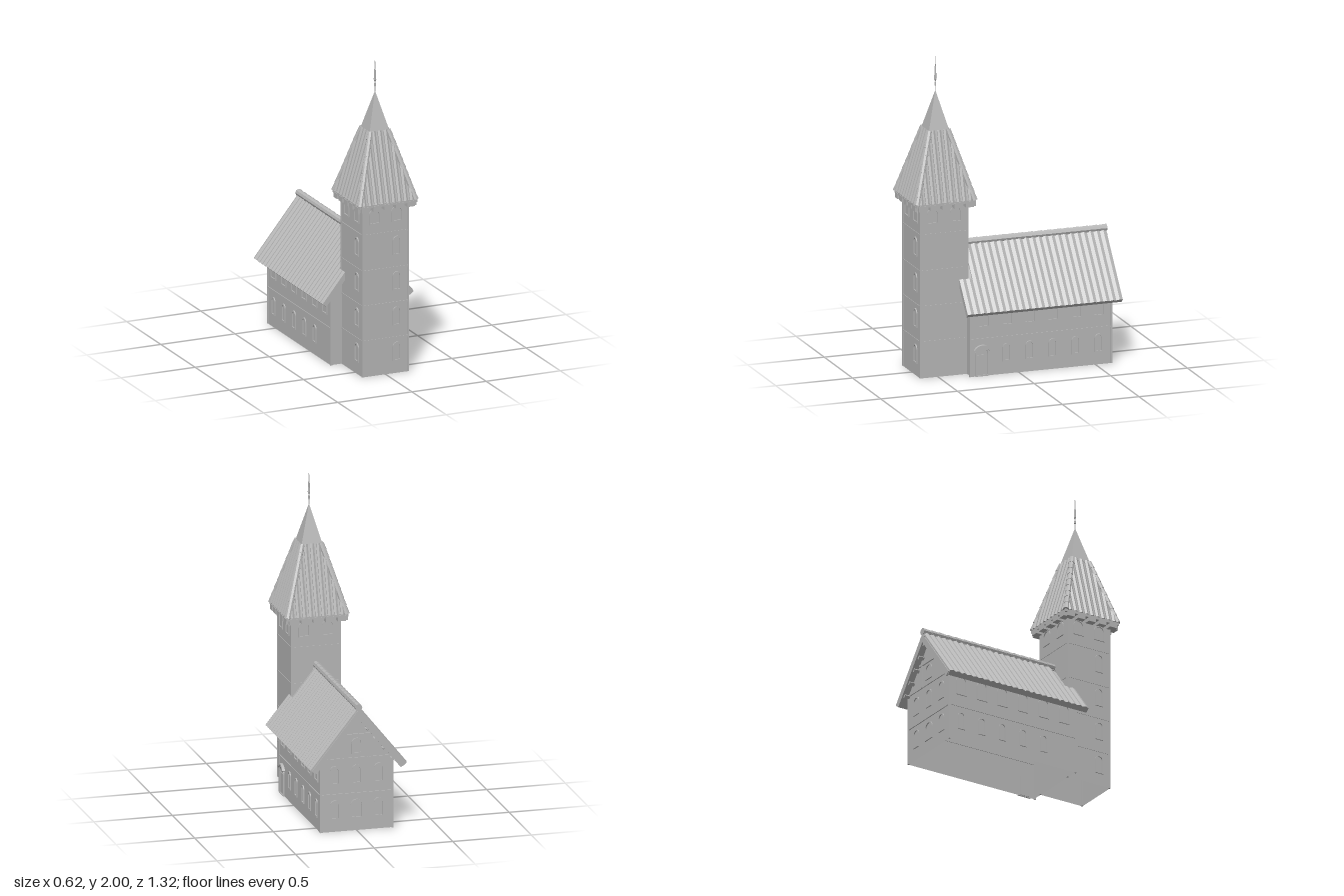
import * as THREE from 'three';

const stone = new THREE.MeshStandardMaterial({ color: 0xb6b6b6, side: THREE.DoubleSide, flatShading: true });
stone.name = 'stone grey';
const TZ = 0.46;   // tower centre
const TH = 0.155;  // tower half width

function add(parent, name, geo, x = 0, y = 0, z = 0, ry = 0) {
  const m = new THREE.Mesh(geo, stone);
  m.name = name;
  m.position.set(x, y, z);
  m.rotation.y = ry;
  parent.add(m);
  return m;
}
const box = (parent, name, w, h, d, x, y, z, ry = 0) =>
  add(parent, name, new THREE.BoxGeometry(w, h, d), x, y, z, ry);

function group(parent, name, x = 0, y = 0, z = 0, ry = 0) {
  const g = new THREE.Group();
  g.name = name;
  g.position.set(x, y, z);
  g.rotation.y = ry;
  parent.add(g);
  return g;
}

// Tapered rod between two points
function rod(parent, name, a, b, r0, r1, sides = 6) {
  const d = b.clone().sub(a);
  const m = add(parent, name, new THREE.CylinderGeometry(r1, r0, d.length(), sides));
  m.position.copy(a).add(b).multiplyScalar(0.5);
  m.quaternion.setFromUnitVectors(new THREE.Vector3(0, 1, 0), d.normalize());
}

// Overlapping tapered cap tiles from a to b
function capTiles(parent, name, a, b, n, r) {
  for (let i = 0; i < n; i++) {
    rod(parent, name, a.clone().lerp(b, i / n), a.clone().lerp(b, (i + 1) / n), r, r * 0.86, 8);
  }
}

// Round-headed outline with its foot at the origin
function arch(Kind, w, h, inset = 0) {
  const s = new Kind(), r = w / 2 - inset;
  s.moveTo(-r, inset);
  s.lineTo(r, inset);
  s.lineTo(r, h - w / 2);
  s.absarc(0, h - w / 2, r, 0, Math.PI, false);
  s.lineTo(-r, inset);
  return s;
}

// Raised frame on a wall
function frame(parent, name, w, h, x, y, z, ry = 0, depth = 0.007) {
  const s = arch(THREE.Shape, w, h);
  s.holes.push(arch(THREE.Path, w, h, 0.008));
  add(parent, name, new THREE.ExtrudeGeometry(s, { depth, bevelEnabled: false, curveSegments: 6 }), x, y, z, ry);
}

function buildTower(root) {
  const tower = group(root, 'tower', 0, 0, TZ);
  const walls = new THREE.CylinderGeometry(TH * Math.SQRT2, TH * Math.SQRT2, 1.1, 4, 1, true);
  add(tower, 'towerWalls', walls.rotateY(Math.PI / 4), 0, 0.55, 0);

  for (let k = 0; k < 4; k++) {
    const side = group(tower, 'towerSide', 0, 0, 0, k * Math.PI / 2);
    box(side, 'cornerPost', 0.012, 1.1, 0.012, TH - 0.003, 0.55, TH - 0.003);
    for (const y of [0.23, 0.455, 0.68, 0.91]) box(side, 'stringCourse', 2 * TH, 0.01, 0.006, 0, y, TH);
    for (const x of [-0.075, 0.075]) frame(side, 'belfryWindow', 0.075, 0.1, x, 0.975, TH);
    for (let i = -2; i <= 2; i++) box(side, 'eaveBlock', 0.052, 0.035, 0.05, i * 0.077, 1.088, TH + 0.018);
    // Stair windows on the front and on the right-hand wall
    if (k === 0 || k === 3) {
      for (let i = 0; i < 4; i++) frame(side, 'stairWindow', 0.055, 0.12, 0.075, 0.08 + i * 0.227, TH);
    }
  }
  box(tower, 'eavePlate', 0.39, 0.02, 0.39, 0, 1.105, 0);
  buildSpire(tower);
}

function buildSpire(tower) {
  const y0 = 1.11, y1 = 1.54, h0 = 0.188, h1 = 0.06;
  const core = new THREE.CylinderGeometry(h1 * Math.SQRT2, h0 * Math.SQRT2, y1 - y0, 4);
  add(tower, 'spireCore', core.rotateY(Math.PI / 4), 0, (y0 + y1) / 2, 0);

  for (let k = 0; k < 4; k++) {
    const face = group(tower, 'spireFace', 0, 0, 0, k * Math.PI / 2);
    // Tile rolls stop where they meet the hips
    for (let i = -4; i <= 4; i++) {
      const u = i * 0.04;
      const t = Math.min(1, (h0 - Math.abs(u)) / (h0 - h1));
      const top = new THREE.Vector3(u, y0 + t * (y1 - y0), h0 + t * (h1 - h0));
      rod(face, 'spireTileRoll', new THREE.Vector3(u, y0, h0), top, 0.015, 0.015);
    }
    capTiles(face, 'hipTile', new THREE.Vector3(h0, y0, h0), new THREE.Vector3(h1, y1, h1), 9, 0.019);
  }
  const cap = new THREE.ConeGeometry(0.068 * Math.SQRT2, 0.25, 4);
  add(tower, 'spireCap', cap.rotateY(Math.PI / 4), 0, 1.655, 0);

  // Slender finial
  const profile = [[0.002, 1.77], [0.002, 1.805], [0.006, 1.81], [0.005, 1.83], [0.002, 1.835],
    [0.008, 1.85], [0.006, 1.89], [0.002, 1.96], [0, 2]].map(p => new THREE.Vector2(...p));
  add(tower, 'finial', new THREE.LatheGeometry(profile, 6));
}

function buildNave(root) {
  const nave = group(root, 'nave');
  const W = 0.23, Z0 = -0.605, Z1 = 0.315, L = Z1 - Z0, ZC = (Z0 + Z1) / 2;

  // Walls, open underneath
  const gable = new THREE.Shape([[-W, 0], [W, 0], [W, 0.47], [0, 0.755], [-W, 0.47]]
    .map(p => new THREE.Vector2(...p)));
  add(nave, 'backGable', new THREE.ShapeGeometry(gable), 0, 0, Z0, Math.PI);
  add(nave, 'frontGable', new THREE.ShapeGeometry(gable), 0, 0, Z1 - 0.005);
  for (const s of [-1, 1]) {
    const ry = s * Math.PI / 2;
    add(nave, 'sideWall', new THREE.PlaneGeometry(L, 0.48), s * W, 0.24, ZC, ry);
    for (const z of [Z0, Z1]) box(nave, 'cornerPost', 0.012, 0.46, 0.012, s * (W - 0.002), 0.23, z);
    box(nave, 'sideBand', 0.008, 0.01, L, s * W, 0.235, ZC);
    for (let i = 0; i < 5; i++) frame(nave, 'lowerWindow', 0.05, 0.115, s * W, 0.08, 0.08 - i * 0.15, ry);
    for (let i = 0; i < 6; i++) frame(nave, 'upperWindow', 0.075, 0.13, s * W, 0.31, 0.23 - i * 0.15, ry);
  }

  // Back wall windows, bands and gable timbers
  for (const x of [-0.14, 0, 0.14]) {
    frame(nave, 'backLowerWindow', x ? 0.06 : 0.08, 0.12, x, 0.08, Z0, Math.PI);
    frame(nave, 'backUpperWindow', 0.06, 0.12, x, 0.3, Z0, Math.PI);
  }
  frame(nave, 'gableWindow', 0.07, 0.1, 0, 0.49, Z0, Math.PI);
  for (const y of [0.235, 0.46]) box(nave, 'backBand', 2 * W, 0.012, 0.012, 0, y, Z0);
  box(nave, 'gableCollar', 0.2, 0.014, 0.016, 0, 0.61, Z0);
  for (const s of [-1, 1]) box(nave, 'gablePost', 0.012, 0.15, 0.014, s * 0.075, 0.535, Z0);

  // Side door with arched hood
  frame(nave, 'doorFrame', 0.09, 0.185, W, 0, 0.24, Math.PI / 2, 0.009);
  box(nave, 'doorLeaf', 0.008, 0.13, 0.06, W, 0.07, 0.24);
  const hood = new THREE.Shape();
  hood.absarc(0, 0, 0.062, 0.5, Math.PI - 0.5, false);
  hood.absarc(0, 0, 0.05, Math.PI - 0.5, 0.5, true);
  add(nave, 'doorHood', new THREE.ExtrudeGeometry(hood, { depth: 0.018, bevelEnabled: false, curveSegments: 8 }),
    W, 0.137, 0.24, Math.PI / 2);

  buildRoof(nave);
}

function buildRoof(nave) {
  const a = Math.atan(1.24), len = 0.3 / Math.cos(a), cut = 0.15 / Math.cos(a);
  const zBack = -0.65, zTower = 0.305, zFront = 0.36, n = 24, step = (zFront - zBack) / n;

  for (const s of [1, -1]) {
    // Local x runs down the slope, local s*y points outwards
    const slope = group(nave, s > 0 ? 'leftRoof' : 'rightRoof', 0, 0.785, 0);
    slope.rotation.z = s > 0 ? -a : Math.PI + a;
    box(slope, 'roofBoards', len, 0.025, zTower - zBack, len / 2, -s * 0.0125, (zTower + zBack) / 2);
    box(slope, 'roofBoardsBesideTower', len - cut, 0.025, zFront - zTower,
      (len + cut) / 2, -s * 0.0125, (zFront + zTower) / 2);
    for (let i = 0; i < n; i++) {
      const z = zBack + (i + 0.5) * step;
      const from = z > zTower - 0.01 ? cut : 0;
      const roll = new THREE.CylinderGeometry(0.0243, 0.0243, len - from, 6, 1, false, Math.PI / 6);
      add(slope, 'roofTileRoll', roll.rotateZ(Math.PI / 2).scale(1, 0.6, 1), (len + from) / 2, 0, z);
    }
    box(slope, 'bargeBoard', len - 0.01, 0.035, 0.01, len / 2, -s * 0.02, zBack);
    for (let i = 0; i < 5; i++) box(slope, 'purlinEnd', 0.02, 0.02, 0.045, 0.06 + i * 0.085, -s * 0.034, -0.62);
  }
  capTiles(nave, 'ridgeTile', new THREE.Vector3(0, 0.797, -0.655), new THREE.Vector3(0, 0.797, zTower), 16, 0.023);
}

export function createModel() {
  const root = new THREE.Group();
  root.name = 'church';
  buildTower(root);
  buildNave(root);
  return root;
}
